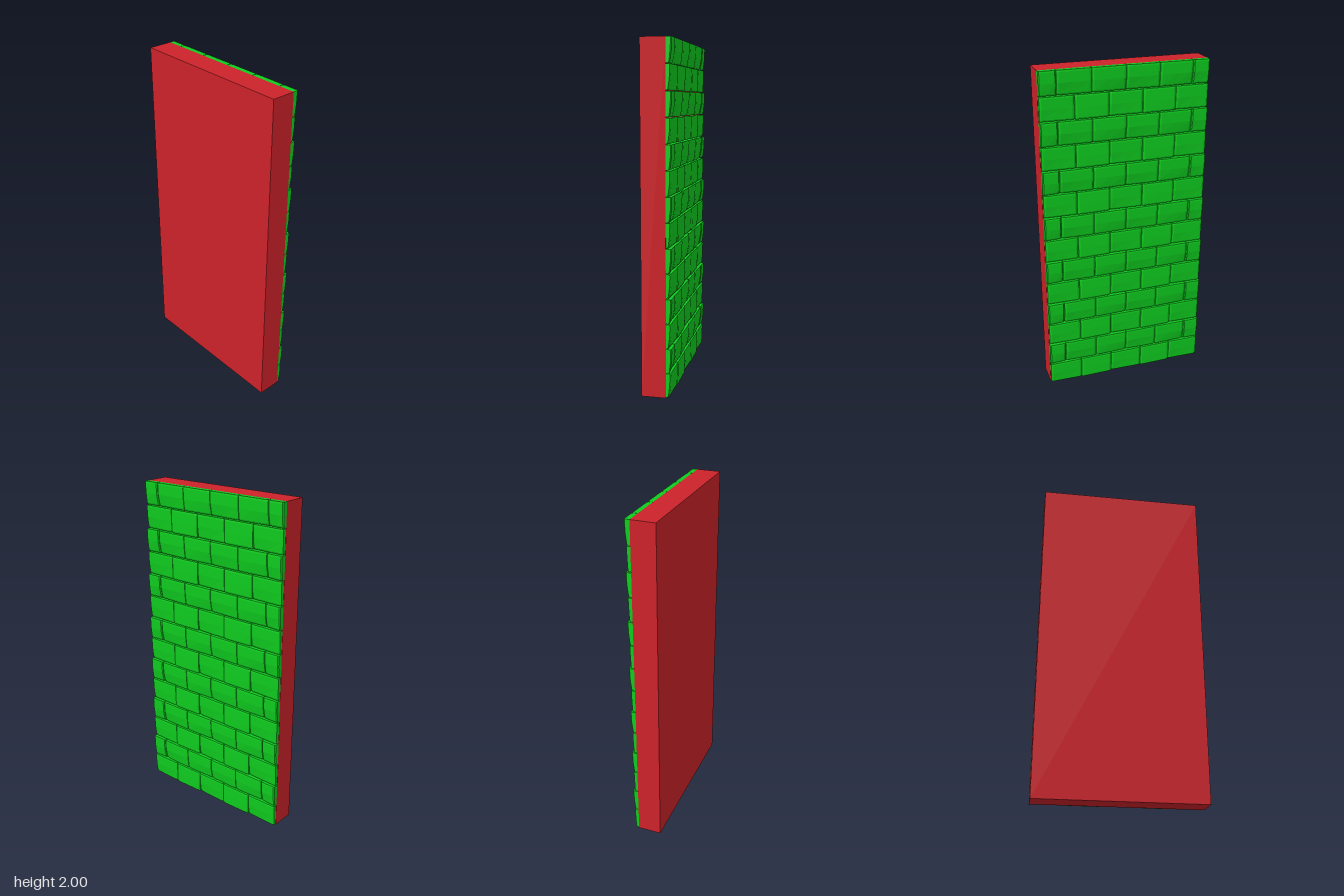
import * as THREE from 'three';

const ROWS = 14, ROW_H = 2 / ROWS, BRICK_W = 0.2, BACK = -0.055;

// One rough-hewn brick: proud along its top, leaning in to a thinner bottom edge.
function brickGeometry(x0, x1, y0, y1, top, mid, lowLeft, lowRight) {
  const g = new THREE.BoxGeometry(1, 1, 1, 4, 4, 1);
  const p = g.attributes.position;
  const us = [0, 0.06, 0.5, 0.94, 1], vs = [0, 0.07, 0.5, 0.93, 1];
  for (let i = 0; i < p.count; i++) {
    const iu = Math.round((p.getX(i) + 0.5) * 4), iv = Math.round((p.getY(i) + 0.5) * 4);
    const u = us[iu], v = vs[iv];
    let z = BACK;
    if (p.getZ(i) < 0) {
      const low = lowLeft + (lowRight - lowLeft) * u;
      let d = v < 0.5 ? low + (mid - low) * v * 2 : mid + (top - mid) * (v - 0.5) * 2;
      if (iu === 0 || iu === 4) d -= 0.005; // worn side edges
      if (iv === 0) d -= 0.004;             // worn bottom edge
      if (iv === 4) d -= 0.002;
      z = BACK - d;
    }
    p.setXYZ(i, x0 + (x1 - x0) * u, y0 + (y1 - y0) * v, z);
  }
  g.computeVertexNormals();
  return g;
}

export function createModel() {
  const model = new THREE.Group();
  const red = new THREE.MeshStandardMaterial({ color: 0xcc2229 });
  const green = new THREE.MeshStandardMaterial({ color: 0x0fcc1f, flatShading: true });

  // Plain wall slab
  const slab = new THREE.Mesh(new THREE.BoxGeometry(1, 2, 0.142), red);
  slab.name = 'wallSlab';
  slab.position.set(0, 1, 0.016);
  model.add(slab);

  // Running-bond courses on the back face; the two alternating courses repeat
  const bricks = new THREE.Group();
  bricks.name = 'brickCourses';
  for (let r = 0; r < ROWS; r++) {
    const y1 = 2 - r * ROW_H, y0 = y1 - ROW_H + 0.004;
    const shifted = r % 2 === 0;
    const start = shifted ? -0.6 : -0.5;
    for (let k = 0; k < (shifted ? 6 : 5); k++) {
      const a = start + k * BRICK_W;
      const x0 = Math.max(-0.5, a + 0.0015), x1 = Math.min(0.5, a + BRICK_W - 0.0015);
      const flat = !shifted && k % 2 === 1; // the less worn bricks
      const top = shifted ? 0.033 : 0.028;
      const mid = flat ? 0.028 : top - 0.002;
      const low = flat ? 0.026 : 0.020;
      const skew = flat ? 0.001 : (k % 2 ? 0.003 : -0.003);
      const brick = new THREE.Mesh(
        brickGeometry(x0, x1, y0, y1, top, mid, low - skew, low + skew), green);
      brick.name = 'brick';
      bricks.add(brick);
    }
  }
  model.add(bricks);
  return model;
}
